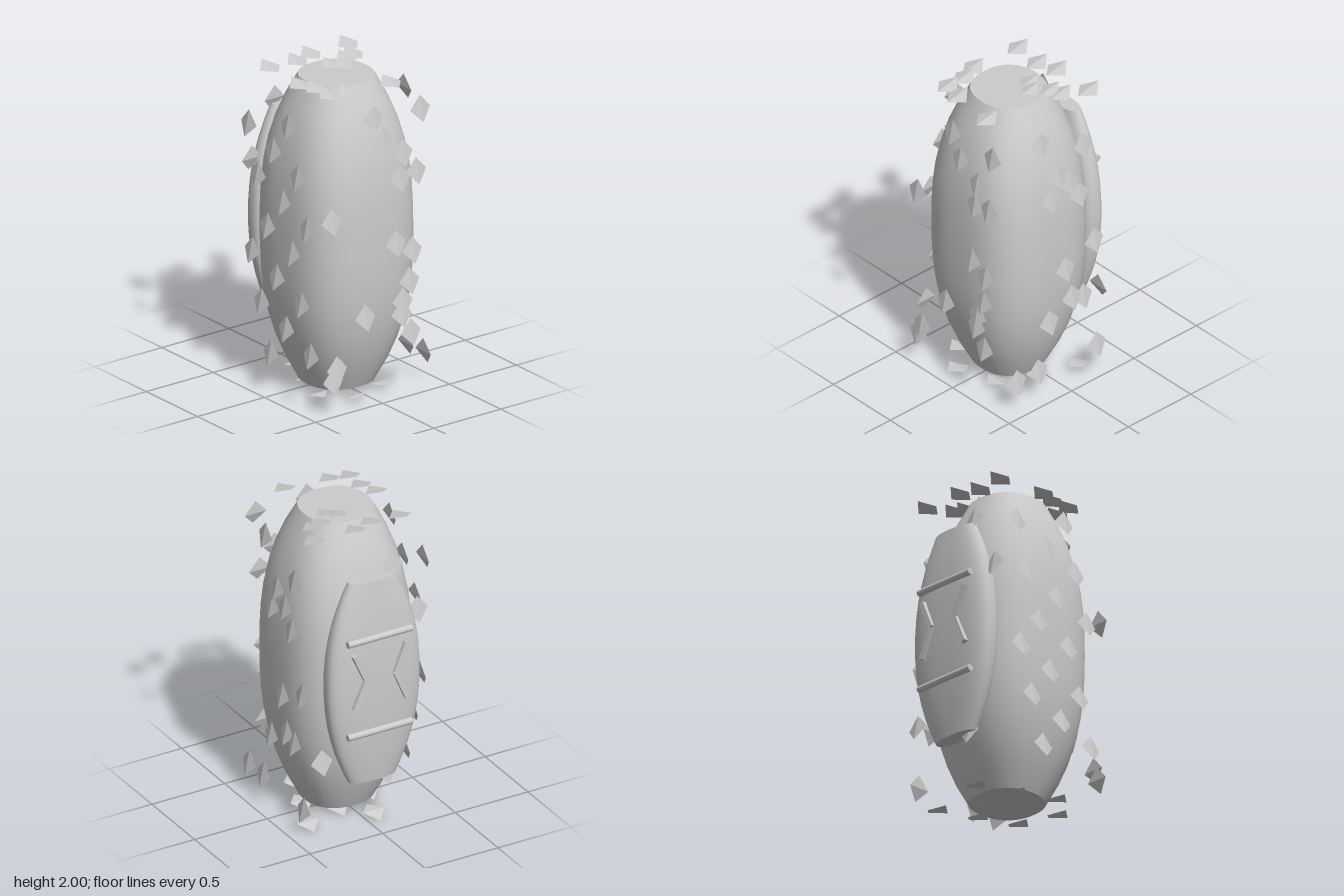
import * as THREE from 'three';

const material = new THREE.MeshStandardMaterial({ color: 0xcccccc });
const flatMaterial = new THREE.MeshStandardMaterial({ color: 0xcccccc, flatShading: true });

// Smooth barrel of squarish cross-sections, tapering by a power rule to flat ends
function barrel({ halfHeight, mid, end, power, rows = 14, segments = 40 }) {
  const pos = [], index = [];
  const ring = (t) => {
    const k = Math.pow(Math.abs(t), power), n = 3 - 0.7 * t * t;
    const rx = mid[0] + (end[0] - mid[0]) * k, rz = mid[1] + (end[1] - mid[1]) * k;
    for (let j = 0; j < segments; j++) {
      const a = (j / segments) * Math.PI * 2, c = Math.cos(a), s = Math.sin(a);
      const r = Math.pow(Math.pow(Math.abs(c), n) + Math.pow(Math.abs(s), n), -1 / n);
      pos.push(rx * c * r, halfHeight * t, rz * s * r);
    }
  };
  for (let i = 0; i <= rows; i++) ring((2 * i) / rows - 1);
  for (let i = 0; i < rows; i++) {
    for (let j = 0; j < segments; j++) {
      const a = i * segments + j, b = i * segments + (j + 1) % segments;
      index.push(a, a + segments, b, b, a + segments, b + segments);
    }
  }
  for (const t of [-1, 1]) {
    const start = pos.length / 3, centre = start + segments;
    ring(t);
    pos.push(0, halfHeight * t, 0);
    for (let j = 0; j < segments; j++) {
      const a = start + j, b = start + (j + 1) % segments;
      index.push(centre, t > 0 ? b : a, t > 0 ? a : b);
    }
  }
  const g = new THREE.BufferGeometry();
  g.setAttribute('position', new THREE.Float32BufferAttribute(pos, 3));
  g.setIndex(index);
  g.computeVertexNormals();
  return g;
}

// Thin scale: a folded diamond lying on z = 0 with a raised lower tip
function scaleGeometry() {
  const T = [0, 0.085, 0], L = [-0.075, 0, 0], R = [0.075, 0, 0], B = [0, -0.08, 0.034];
  const g = new THREE.BufferGeometry();
  const corners = [T, L, B, T, B, R, T, R, L, L, R, B].flat();
  g.setAttribute('position', new THREE.Float32BufferAttribute(corners, 3));
  g.computeVertexNormals();
  return g;
}

// Even scatter of spots over a rectangle, stepping by the golden ratio
function scatter(count, uMin, uMax, vMin, vMax) {
  return Array.from({ length: count }, (_, i) => [
    uMin + (uMax - uMin) * ((0.35 + i * 0.618) % 1),
    vMin + (vMax - vMin) * ((i + 0.5) / count),
  ]);
}

export function createModel() {
  const model = new THREE.Group();
  const add = (name, geometry, parent = model, mat = material) => {
    const mesh = new THREE.Mesh(geometry, mat);
    mesh.name = name;
    parent.add(mesh);
    return mesh;
  };

  // Rounded body with flat ends
  const body = barrel({ halfHeight: 0.9675, mid: [0.41, 0.41], end: [0.22, 0.22], power: 2.8 });
  add('body', body).position.set(0, 1.0025, 0.05);

  // Pack on the back
  const pack = new THREE.Group();
  pack.name = 'backPack';
  model.add(pack);
  const shell = barrel({ halfHeight: 0.675, mid: [0.315, 0.1], end: [0.16, 0.055], power: 2.2 });
  add('packShell', shell, pack).position.set(0, 1.005, -0.37);

  // Two cross bars
  for (const y of [0.69, 1.32]) {
    const bar = add('crossBar', new THREE.CylinderGeometry(0.021, 0.021, 0.44, 12), pack, flatMaterial);
    bar.rotation.z = Math.PI / 2;
    bar.position.set(0, y, -0.465);
  }

  // Mirrored chevrons made from two strips each
  const dx = 0.08, dy = 0.185;
  for (const side of [1, -1]) {
    for (const half of [1, -1]) {
      const strip = add('chevronStrip', new THREE.BoxGeometry(0.03, Math.hypot(dx, dy), 0.035), pack, flatMaterial);
      strip.position.set(side * 0.14, 1.055 + half * dy / 2, -0.4725);
      strip.rotation.z = -side * half * Math.atan2(dx, dy);
    }
  }

  // Scales floating on the six planes around the body
  const scale = scaleGeometry();
  const q = Math.PI / 2;
  const addScales = (name, rotation, spots, place) => {
    const group = new THREE.Group();
    group.name = name + 's';
    model.add(group);
    for (const [u, v] of spots) {
      const mesh = add(name, scale, group, flatMaterial);
      mesh.position.set(...place(u, v));
      mesh.rotation.set(...rotation);
    }
  };
  addScales('frontScale', [0, 0, 0], [
    [-0.04, 1.82], [0.31, 1.8], [0.03, 1.66], [0.18, 1.55], [0.16, 1.39], [0.28, 1.41], [-0.35, 1.23], [0.13, 0.98],
    [0.25, 0.91], [0.23, 0.72], [-0.1, 0.56], [0.18, 0.6], [0.17, 0.52], [0.24, 0.39], [-0.31, 0.28], [-0.34, 0.21],
  ], (x, y) => [x, y, 0.46]);
  addScales('leftScale', [0, q, 0], [
    [0.17, 1.82], [-0.17, 1.66], [0.03, 1.53], [-0.06, 1.44], [0.09, 1.38], [-0.14, 1.32], [-0.26, 0.93],
    [-0.03, 0.83], [-0.08, 0.6], [-0.17, 0.57], [0.1, 0.5], [0.36, 0.19], [0.19, 0.19], [-0.28, 0.17],
  ], (z, y) => [0.41, y, z]);
  addScales('topScale', [-q, 0, 2 * q], [
    [-0.26, -0.26], [-0.07, -0.24], [0.06, -0.28], [0.34, -0.28], [0.26, -0.13], [0.05, -0.06], [0.19, -0.1],
    [0.11, -0.01], [-0.29, 0.07], [-0.25, 0.18], [-0.25, 0.31], [-0.13, 0.34], [0.16, 0.37],
  ], (x, z) => [x, 1.966, z]);
  addScales('rightScale', [0, -q, 0], scatter(16, -0.27, 0.36, 0.2, 1.8), (z, y) => [-0.41, y, z]);
  addScales('backScale', [0, 2 * q, 0], scatter(9, -0.36, 0.36, 0.25, 1.8), (x, y) => [x, y, -0.36]);
  addScales('bottomScale', [q, 0, 0], scatter(9, -0.3, 0.36, -0.32, 0.4), (x, z) => [x, 0.035, z]);
  return model;
}
